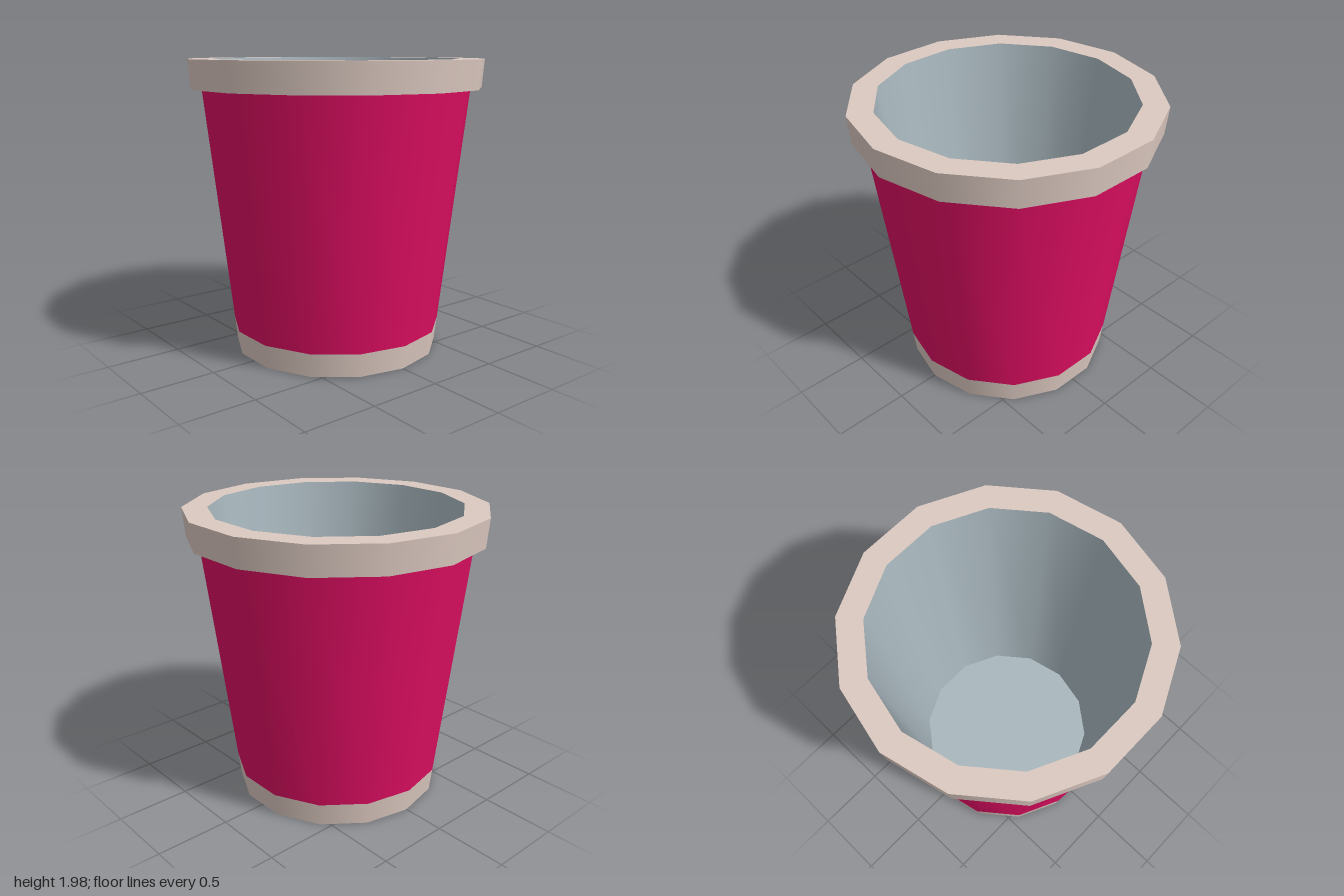
import * as THREE from 'three';

const SIDES = 14;

function material(name, color) {
  const m = new THREE.MeshStandardMaterial({ color });
  m.name = name;
  return m;
}

export function createModel() {
  const pink = material('pink', 0xdd0e61);
  const beige = material('beige', 0xdcc9c0);
  const greyBlue = material('greyBlue', 0xa9b8bf);

  const group = new THREE.Group();
  group.name = 'cup';

  // One band of the cup, from [radius, height] to [radius, height];
  // separate bands keep the edges between them sharp.
  const band = (name, mat, from, to) => {
    const points = [from, to].map(([r, y]) => new THREE.Vector2(r, y));
    const mesh = new THREE.Mesh(new THREE.LatheGeometry(points, SIDES), mat);
    mesh.name = name;
    group.add(mesh);
  };

  // Base
  band('baseUnderside', beige, [0, 0], [0.705, 0]);
  band('baseBand', beige, [0.705, 0], [0.723, 0.16]);

  // Tapered wall
  band('outerWall', pink, [0.723, 0.16], [0.91, 1.787]);

  // Overhanging rim
  band('rimUnderside', beige, [0.91, 1.787], [0.984, 1.787]);
  band('rimSide', beige, [0.984, 1.787], [1, 1.977]);
  band('rimTop', beige, [1, 1.977], [0.835, 1.977]);

  // Hollow inside
  band('innerWall', greyBlue, [0.835, 1.977], [0.622, 0.13]);
  band('innerFloor', greyBlue, [0.622, 0.13], [0, 0.13]);

  return group;
}
